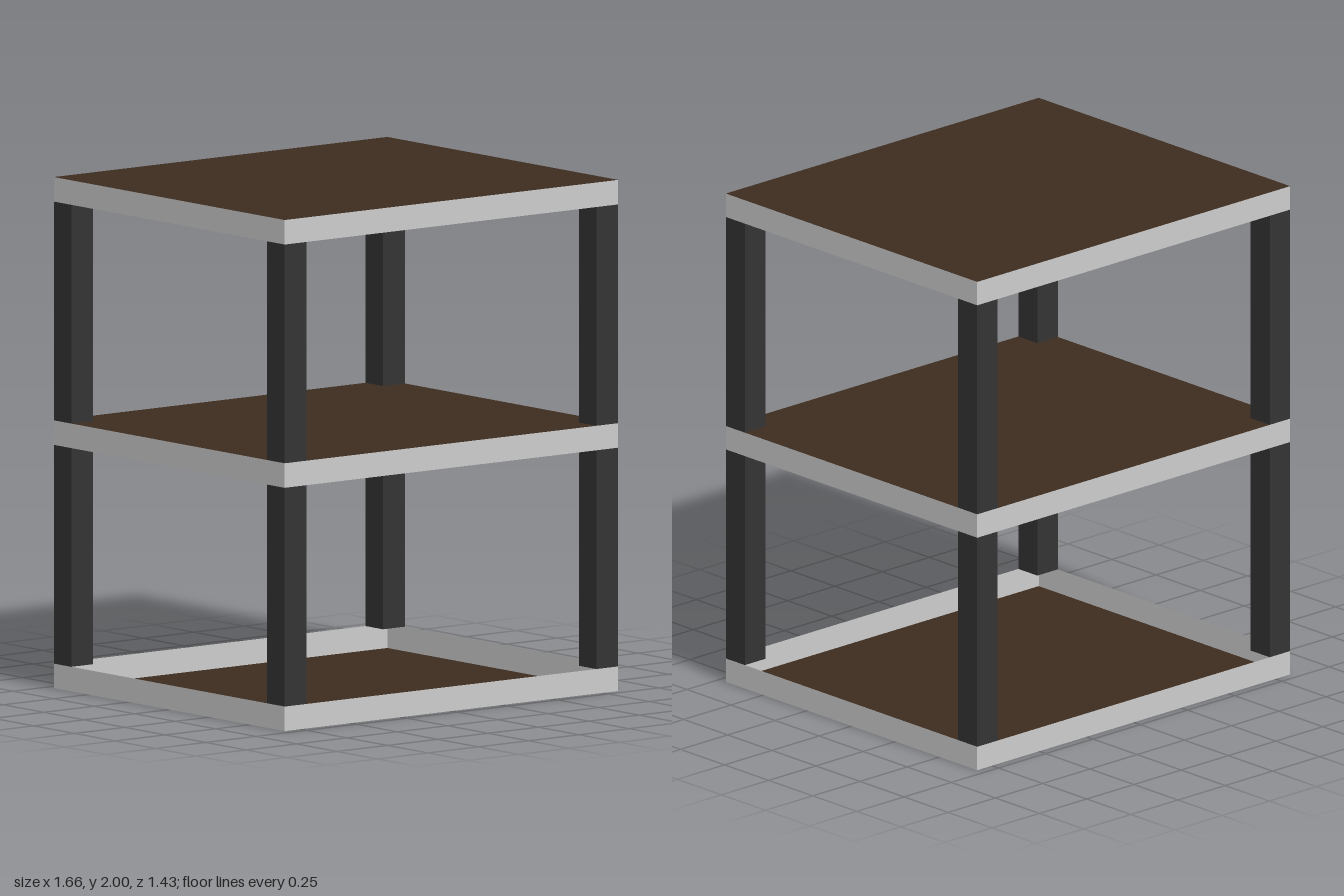
import * as THREE from 'three';

const W = 1.656, D = 1.426, T = 0.096, POST = 0.108;

export function createModel() {
  const grey = new THREE.MeshStandardMaterial({ color: 0xcccccc, side: THREE.DoubleSide });
  const brown = new THREE.MeshStandardMaterial({ color: 0x3d2b1f, side: THREE.DoubleSide });
  const charcoal = new THREE.MeshStandardMaterial({ color: 0x333333 });
  grey.name = 'lightGreyTrim';
  brown.name = 'darkBrownBoard';
  charcoal.name = 'charcoalPost';

  const model = new THREE.Group();
  model.name = 'shelfUnit';
  const add = (parent, name, geometry, material, x, y, z) => {
    const mesh = new THREE.Mesh(geometry, material);
    mesh.name = name;
    mesh.position.set(x, y, z);
    parent.add(mesh);
    return mesh;
  };

  // Bottom tray: a board at floor level inside a thin, open rim
  const tray = new THREE.Group();
  tray.name = 'bottomTray';
  model.add(tray);
  add(tray, 'trayFloor', new THREE.PlaneGeometry(W, D).rotateX(-Math.PI / 2), brown, 0, 0, 0);
  for (let i = 0; i < 4; i++) {
    const angle = i * Math.PI / 2;
    const [length, offset] = i % 2 ? [D, W / 2] : [W, D / 2];
    const rim = add(tray, 'trayRim', new THREE.PlaneGeometry(length, T), grey,
      Math.sin(angle) * offset, T / 2, Math.cos(angle) * offset);
    rim.rotation.y = angle;
  }

  // Middle and top shelves: brown boards with grey edges
  const shelfMaterials = [grey, grey, brown, brown, grey, grey];
  add(model, 'middleShelf', new THREE.BoxGeometry(W, T, D), shelfMaterials, 0, 1, 0);
  add(model, 'topShelf', new THREE.BoxGeometry(W, T, D), shelfMaterials, 0, 2 - T / 2, 0);

  // Corner posts on both levels
  const height = 1 - T * 1.5;
  const postGeometry = new THREE.BoxGeometry(POST, height, POST);
  for (const base of [T, 1 + T / 2])
    for (const sx of [-1, 1])
      for (const sz of [-1, 1])
        add(model, 'cornerPost', postGeometry, charcoal,
          sx * (W - POST) / 2, base + height / 2, sz * (D - POST) / 2);

  return model;
}
